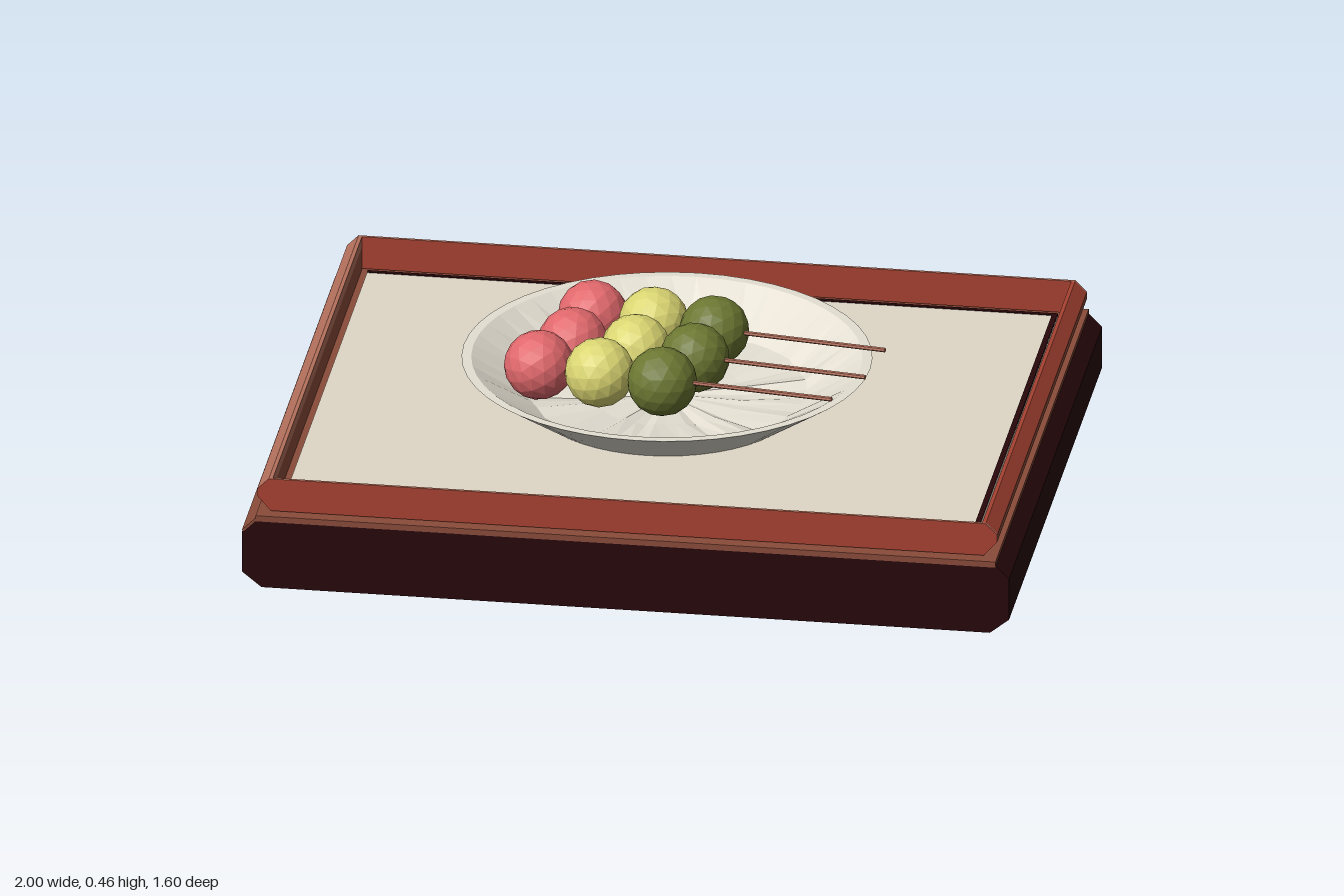
import * as THREE from 'three';

const mat = (name, color) => {
  const m = new THREE.MeshStandardMaterial({ color, flatShading: true });
  m.name = name;
  return m;
};

export function createModel() {
  const root = new THREE.Group();
  root.name = 'dumplingTray';
  const darkWood = mat('darkWood', 0x28070a);
  const redWood = mat('redWood', 0xa84232);
  const brownWood = mat('brownWood', 0x8a4c3a);
  const paleWood = mat('paleWood', 0xb4705c);
  const cream = mat('creamSurface', 0xe0d8c8);
  const china = mat('china', 0xe4dfd2);
  const pink = mat('pinkDough', 0xe0686c);
  const yellow = mat('yellowDough', 0xdad572);
  const green = mat('greenDough', 0x6c7732);

  const add = (name, geometry, material, x = 0, y = 0, z = 0, parent = root) => {
    const m = new THREE.Mesh(geometry, material);
    m.name = name;
    m.position.set(x, y, z);
    parent.add(m);
    return m;
  };
  const box = (name, w, h, d, material, x, y, z) =>
    add(name, new THREE.BoxGeometry(w, h, d), material, x, y, z);

  // A cross-section in x and y, extruded along z from z0 to z1
  const bar = (name, pts, z0, z1, materials) => {
    const shape = new THREE.Shape(pts.map(([x, y]) => new THREE.Vector2(x, y)));
    const g = new THREE.ExtrudeGeometry(shape, { depth: z1 - z0, bevelEnabled: false });
    return add(name, g, materials, 0, 0, z0);
  };
  // Mirrors the right half of a cross-section to close it
  const mirrored = half => [...half, ...half.map(([x, y]) => [-x, y]).reverse()];

  // Base with bevelled ends, brown top and brown bevel strip on one side
  bar('base', mirrored([[0.95, 0], [1, 0.04], [1, 0.155], [0.96, 0.195]]), -0.798, 0.798, darkWood);
  box('baseTop', 1.93, 0.016, 1.6, brownWood, 0, 0.194, 0);
  const strip = box('baseBevelStrip', 0.052, 0.006, 1.6, brownWood, -0.98, 0.176, 0);
  strip.rotation.z = Math.PI / 4;

  // Raised rim: thin front and back walls, then bevelled side walls
  const ends = [[0.93, 0.205], [0.965, 0.245], [0.965, 0.265], [0.935, 0.295]];
  bar('frontWall', mirrored(ends), 0.762, 0.77, [redWood, paleWood]);
  bar('backWall', mirrored(ends), -0.77, -0.762, [redWood, paleWood]);
  for (const s of [1, -1]) {
    const side = s > 0 ? 'left' : 'right';
    const place = pts => pts.map(([x, y]) => [s * x, y]);
    bar(side + 'LowerWall', place([[0.925, 0.2], [0.93, 0.205], [0.965, 0.245], [0.965, 0.265], [0.925, 0.265]]),
      -0.762, 0.762, brownWood);
    bar(side + 'UpperWall', place([[0.925, 0.265], [0.965, 0.265], [0.935, 0.295], [0.925, 0.295]]),
      -0.762, 0.762, s > 0 ? redWood : paleWood);
  }

  // Sunken surface and its dark seams
  box('traySurface', 1.8, 0.03, 1.38, cream, 0, 0.215, 0);
  box('sideSeam', 0.014, 0.008, 1.38, darkWood, 0.893, 0.228, 0);
  box('backSeam', 1.8, 0.008, 0.012, darkWood, 0, 0.228, -0.69);

  // Shallow plate, profile from the underside out and back to the middle
  const profile = [[0.001, 0.231], [0.35, 0.231], [0.53, 0.354], [0.505, 0.354],
    [0.36, 0.264], [0.2, 0.252], [0.001, 0.248]].map(([x, y]) => new THREE.Vector2(x, y));
  const plate = new THREE.LatheGeometry(profile, 48);
  // Gentle uneven flutes on the inside
  const p = plate.attributes.position;
  for (let i = 0; i < p.count; i++) {
    const row = i % profile.length;
    if (row !== 4 && row !== 5) continue;
    const a = Math.atan2(p.getZ(i), p.getX(i));
    p.setY(i, p.getY(i) + 0.004 * (Math.sin(11 * a + row) + Math.sin(17 * a)));
  }
  add('plate', plate, china, -0.015, 0, -0.01);

  // Three skewers of dumplings
  const ballGeometry = new THREE.IcosahedronGeometry(0.091, 2);
  const doughs = [['pinkDumpling', pink, 0.35], ['yellowDumpling', yellow, 0.36], ['greenDumpling', green, 0.366]];
  const rows = [
    { balls: [[-0.245, -0.25], [-0.08, -0.21], [0.085, -0.165]], tip: [0.55, 0.4, -0.035] },
    { balls: [[-0.27, -0.075], [-0.1, -0.035], [0.06, 0.01]], tip: [0.525, 0.4, 0.14] },
    { balls: [[-0.335, 0.08], [-0.17, 0.125], [0, 0.17]], tip: [0.46, 0.4, 0.29] },
  ];
  rows.forEach(({ balls, tip }, r) => {
    const row = new THREE.Group();
    row.name = 'skewerRow' + (r + 1);
    root.add(row);
    balls.forEach(([x, z], i) => {
      const [name, material, y] = doughs[i];
      add(name, ballGeometry, material, x, y, z, row).rotation.set(r, i * 1.3, r + i);
    });
    const a = new THREE.Vector3(balls[0][0], 0.35, balls[0][1]);
    const b = new THREE.Vector3(...tip);
    const dir = b.clone().sub(a);
    const skewer = add('skewer', new THREE.CylinderGeometry(0.006, 0.006, dir.length(), 6), paleWood, 0, 0, 0, row);
    skewer.position.copy(a).add(b).multiplyScalar(0.5);
    skewer.quaternion.setFromUnitVectors(new THREE.Vector3(0, 1, 0), dir.normalize());
  });
  return root;
}
